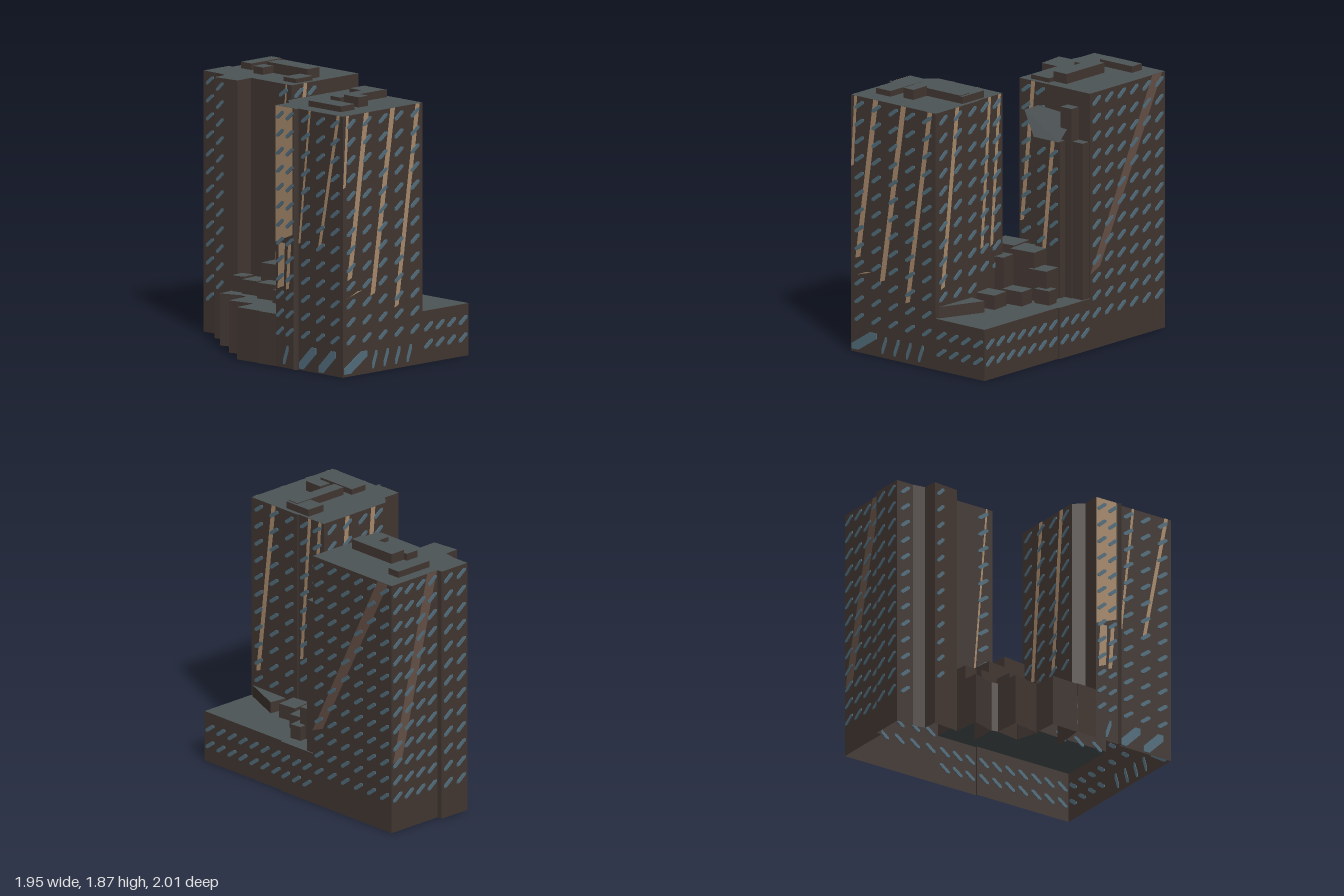
import * as THREE from 'three';
import { mergeGeometries } from 'three/addons/utils/BufferGeometryUtils.js';

const mat = (color) => new THREE.MeshStandardMaterial({ color, side: THREE.DoubleSide, flatShading: true });
const wall = mat(0x423732), roof = mat(0x4d5456), glass = mat(0x526d7c);
const tan = mat(0xa88a6c), darkTan = mat(0x655146);

// Open-bottomed prism: plan points are [x, z, base], base being where the wall
// running on to the next point starts; a base at the top leaves that wall out
function prism(name, pts, y1, y0 = 0) {
  const g = new THREE.Group();
  g.name = name;
  const pos = [];
  pts.forEach(([ax, az, base = y0], i) => {
    const [bx, bz] = pts[(i + 1) % pts.length];
    if (base >= y1) return;
    pos.push(bx, base, bz, ax, base, az, ax, y1, az);
    pos.push(bx, base, bz, ax, y1, az, bx, y1, bz);
  });
  const geo = new THREE.BufferGeometry();
  geo.setAttribute('position', new THREE.Float32BufferAttribute(pos, 3));
  geo.computeVertexNormals();
  const walls = new THREE.Mesh(geo, wall);
  walls.name = name + 'Walls';
  const plan = new THREE.Shape(pts.map(([x, z]) => new THREE.Vector2(x, -z)));
  const cap = new THREE.Mesh(new THREE.ShapeGeometry(plan), roof);
  cap.name = name + 'Roof';
  cap.rotation.x = -Math.PI / 2;
  cap.position.y = y1;
  g.add(walls, cap);
  return g;
}

const rect = (u0, v0, u1, v1) => [[u0, v0], [u1, v0], [u1, v1], [u0, v1]];
const outline = (pts) => new THREE.Shape(pts.map(([x, y]) => new THREE.Vector2(x, y)));

// Slanted six-sided window centred on (x, y), showing on both sides of its wall
function pane(x, y, w = 0.08, h = 0.06) {
  const a = w / 2, b = h / 2;
  const s = outline([[-a, -b], [-a * 0.45, -b], [a, b * 0.45], [a, b], [a * 0.45, b], [-a, -b * 0.45]]);
  return new THREE.ExtrudeGeometry(s, { depth: 0.012, bevelEnabled: false }).translate(x, y, -0.005);
}

// Upright slanted strip from (xa, ya) to (xb, yb)
const strip = ([xa, ya, xb, yb, w]) => new THREE.ShapeGeometry(
  outline([[xa, ya], [xa + w, ya + w * 0.4], [xb + w, yb], [xb, yb]])).translate(0, 0, 0.003);

// Dressing of one wall; p0 is its left end as seen from outside
function facade(name, p0, p1, { cols, floors, w, extra = [], strips = [], trim = tan }) {
  const g = new THREE.Group();
  g.name = name;
  const du = p1[0] - p0[0], dv = p1[1] - p0[1], len = Math.hypot(du, dv);
  g.position.set(p0[0], 0, p0[1]);
  g.rotation.y = Math.atan2(-dv, du);
  const panes = extra.map((e) => pane(...e));
  for (let c = 0; c < cols; c++) for (const y of floors) panes.push(pane(((c + 0.5) * len) / cols, y, w));
  const windows = new THREE.Mesh(mergeGeometries(panes), glass);
  windows.name = name + 'Windows';
  g.add(windows);
  if (strips.length) {
    const bands = new THREE.Mesh(mergeGeometries(strips.map(strip)), trim);
    bands.name = name + 'Bands';
    g.add(bands);
  }
  return g;
}

export function createModel() {
  const model = new THREE.Group();
  model.name = 'twinTowerBuilding';
  // Street grid, turned against the world axes, with its origin on the rear corner
  const site = new THREE.Group();
  site.name = 'towersAndPodium';
  site.rotation.y = -0.558;
  site.position.set(-0.59, 0, -1);
  model.add(site);

  // Main masses: walls shared with the podium start at its roof, P
  const H = 1.8, P = 0.36;
  site.add(
    prism('rearTower', [[0, 0], [0.775, 0, P], [0.775, 0.635, P], [0.385, 0.635, P], [0.388, 0.77],
      [0.188, 0.79], [0.182, 0.685], [0.09, 0.67], [-0.04, 0.67], [-0.04, 0.43], [0, 0.43]], H),
    prism('frontTower', [[1.85, 0.45], [1.85, 1.21], [1.425, 1.21], [1.425, 1.235], [1.41, 1.245],
      [1.4, 1.225], [1.22, 1.225, P], [1.22, 1.1, P], [1.15, 1.04, P], [1.15, 0.46, P],
      [1.4, 0.46, P], [1.4, 0.45, P]], H),
    prism('podium', [[0.775, 0], [1.09, 0], [1.09, 0.012], [1.85, 0.012], [1.85, 0.45, P], [1.4, 0.45, P],
      [1.15, 0.46, P], [1.15, 1.04, P], [1.22, 1.1, P], [1.22, 1.225], [1.06, 1.235, P], [1.08, 0.97],
      [0.84, 1.04, P], [0.8, 0.89], [0.62, 0.92], [0.575, 0.91, P], [0.57, 0.73, P],
      [0.385, 0.76, P], [0.385, 0.635, P], [0.775, 0.635, P]].map(
      // The wall behind the fourth bay stays open
      (p) => (p[0] === 1.08 ? [...p, P] : p)), P),
    prism('rearPier', rect(0.775, 0.01, 0.84, 0.13), 1.46, P),
    prism('innerPier', rect(0.775, 0.1, 0.85, 0.2), 1.69, P),
    prism('innerBay', rect(0.775, 0.16, 0.9, 0.38), 1.46, P)
  );

  // Sloped glazing over the inner bay
  const slope = new THREE.BufferGeometry();
  slope.setAttribute('position', new THREE.Float32BufferAttribute([
    0.92, 1.46, 0.15, 0.92, 1.46, 0.38, 0.82, 1.6, 0.55, 0.78, 1.64, 0.46, 0.78, 1.62, 0.13], 3));
  slope.setIndex([0, 2, 1, 0, 3, 2, 0, 4, 3]);
  slope.computeVertexNormals();
  const slopeMesh = new THREE.Mesh(slope, roof);
  slopeMesh.name = 'slopedBayRoof';
  site.add(slopeMesh);

  // Sawtooth street front, open to the podium behind
  [
    [[-0.75, 0.03], [-0.66, -0.16, P], [-0.49, -0.09], [-0.58, 0.07]],
    [[-0.63, 0.27], [-0.55, 0.11, P], [-0.38, 0.18], [-0.43, 0.35]],
    [[-0.52, 0.5], [-0.42, 0.31, P], [-0.18, 0.39], [-0.34, 0.6]]
  ].forEach((p, i) => model.add(prism('sawtoothBay' + (i + 1), p, P)));

  // Stepped terraces between the towers: x, z, width, depth, top
  [
    [-0.62, -0.1, 0.1, 0.11, 0.47], [-0.51, -0.03, 0.13, 0.15, 0.46], [-0.36, 0.12, 0.15, 0.15, 0.47],
    [-0.35, -0.03, 0.18, 0.17, 0.58], [-0.17, 0.0, 0.18, 0.2, 0.68], [-0.22, 0.25, 0.14, 0.17, 0.45],
    [0.03, -0.17, 0.18, 0.2, 0.69], [0.13, -0.28, 0.14, 0.15, 0.58], [0.16, 0.01, 0.12, 0.13, 0.67],
    [0.25, -0.12, 0.12, 0.16, 0.46], [0.22, -0.31, 0.09, 0.12, 0.46], [0.36, 0.04, 0.14, 0.15, 0.46]
  ].forEach(([x, z, w, d, h], i) => {
    const t = prism('terrace' + (i + 1), rect(-w / 2, -d / 2, w / 2, d / 2), h, P);
    t.position.set(x, 0, z);
    t.rotation.y = -0.45;
    model.add(t);
  });
  model.add(prism('wedgeTerrace', [[0.45, 0.16], [0.53, 0.06], [0.73, 0.34]], 0.44, P));

  // Rooftop plant rooms: plan rectangle and top
  [
    [0.08, 0.14, 0.18, 0.43, 1.845], [0.3, 0.285, 0.69, 0.4, 1.87], [0.27, 0.4, 0.36, 0.5, 1.85],
    [0.62, 0.4, 0.74, 0.56, 1.83],
    [1.41, 0.97, 1.72, 1.1, 1.84], [1.45, 0.5, 1.54, 0.93, 1.855], [1.32, 0.48, 1.54, 0.62, 1.85],
    [1.54, 0.8, 1.68, 0.89, 1.87]
  ].forEach(([a, b, c, d, h], i) => site.add(prism('roofPlant' + (i + 1), rect(a, b, c, d), h, H)));

  // Window rows and slanted bands
  const all = Array.from({ length: 13 }, (_, i) => 0.25 + i * 0.1242);
  const upper = all.slice(1), low = [0.13, 0.25];
  const tall = [0, 1, 2, 3].map((i) => [0.3 + i * 0.11, 0.09, 0.045, 0.12]);
  site.add(
    facade('frontTowerFront', [1.425, 1.21], [1.85, 1.21], {
      cols: 3, floors: all, extra: [[0.09, 0.09, 0.16, 0.16], [0.28, 0.09, 0.16, 0.16]],
      strips: [[0.0, 0.87, 0.1, H, 0.02], [0.19, 0.87, 0.37, H, 0.03]] }),
    facade('frontTowerCornerBay', [1.22, 1.225], [1.4, 1.225], {
      cols: 2, floors: all, w: 0.07, extra: [[0.1, 0.09, 0.045, 0.13]],
      strips: [[0.0, 0.86, 0.0, H, 0.165], [0.02, 0.54, 0.03, 0.86, 0.06], [0.1, 0.54, 0.12, 0.86, 0.03]] }),
    facade('frontTowerSide', [1.85, 1.21], [1.85, 0.45], {
      cols: 5, floors: all, extra: [[0.12, 0.09, 0.22, 0.14], ...tall],
      strips: [[0.0, 1.3, 0.03, H, 0.025], [0.04, 0.66, 0.2, H, 0.045], [0.26, 0.53, 0.45, H, 0.045],
        [0.49, 0.42, 0.69, H, 0.04], [0.02, 0.53, 0.14, 0.58, 0.04]] }),
    facade('frontTowerRear', [1.85, 0.45], [1.4, 0.45], {
      cols: 3, floors: upper, strips: [[0.05, 0.55, 0.2, H, 0.04]] }),
    facade('frontTowerRearStep', [1.4, 0.46], [1.15, 0.46], {
      cols: 2, floors: upper.slice(2), strips: [[0.02, 0.75, 0.1, H, 0.03], [0.12, 0.75, 0.2, H, 0.03]] }),
    facade('frontTowerInner', [1.15, 0.46], [1.15, 1.04], {
      cols: 4, floors: upper.slice(2), strips: [[0.1, 0.6, 0.2, H, 0.04], [0.34, 0.6, 0.44, H, 0.04]] }),
    facade('podiumSide', [1.85, 0.45], [1.85, 0.012], { cols: 4, floors: low }),
    facade('podiumRear', [1.85, 0.012], [1.09, 0.012], { cols: 7, floors: low }),
    facade('podiumRearStep', [1.09, 0], [0.775, 0], { cols: 3, floors: low }),
    facade('rearTowerRear', [0.775, 0], [0, 0], {
      cols: 6, floors: all, strips: [[0, 0.53, 0.64, H, 0.1]], trim: darkTan }),
    facade('rearTowerOuter', [0, 0], [0, 0.43], {
      cols: 4, floors: all, strips: [[0.01, 0.5, 0.33, H, 0.09]], trim: darkTan }),
    facade('rearTowerOuterStep', [-0.04, 0.43], [-0.04, 0.67], { cols: 2, floors: all }),
    facade('rearTowerCorner', [-0.04, 0.67], [0.09, 0.67], { cols: 1, floors: all, w: 0.07 }),
    facade('rearTowerTallBay', [0.188, 0.79], [0.288, 0.78], { cols: 1, floors: upper, w: 0.06 }),
    facade('rearTowerFrontEnd', [0.62, 0.635], [0.775, 0.635], {
      cols: 1, floors: upper.slice(2), strips: [[0.0, 0.58, 0.1, H, 0.015]] }),
    facade('rearTowerInner', [0.775, 0.635], [0.775, 0.38], {
      cols: 2, floors: upper.slice(3), strips: [[0.01, 0.8, 0.11, H, 0.035]] }),
    facade('rearTowerBay', [0.9, 0.38], [0.9, 0.16], {
      cols: 2, floors: upper.slice(3, 9), w: 0.07, strips: [[0.05, 0.57, 0.14, 1.46, 0.035]] })
  );
  return model;
}
